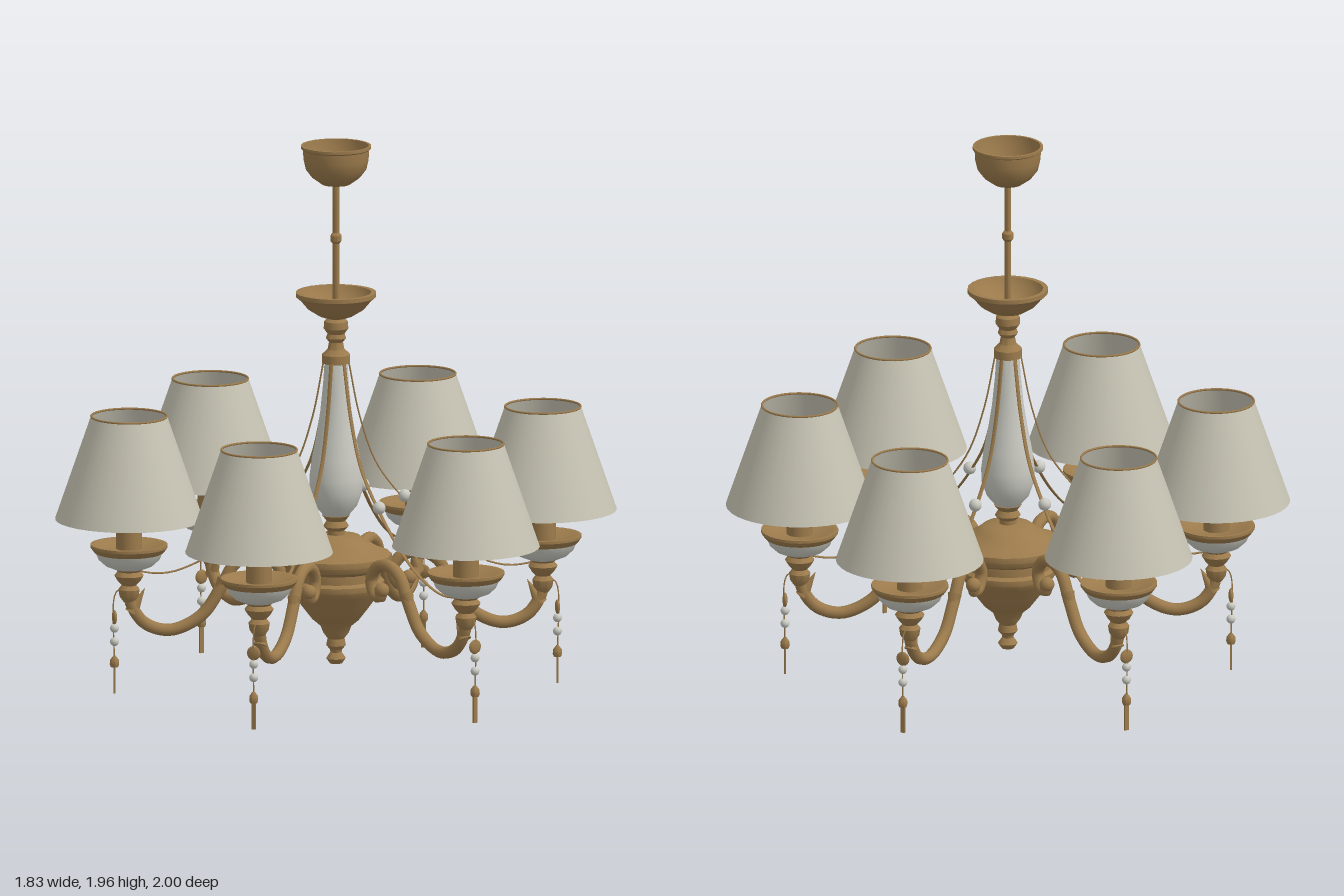
import * as THREE from 'three';
import { toCreasedNormals } from 'three/addons/utils/BufferGeometryUtils.js';

const mat = (name, color, side = THREE.FrontSide) =>
  Object.assign(new THREE.MeshStandardMaterial({ color, side }), { name });

export function createModel() {
  const brass = mat('antique brass', 0x9c7b4c, THREE.DoubleSide);
  const fabric = mat('shade fabric', 0xc6c3b3, THREE.DoubleSide);
  const porcelain = mat('porcelain', 0xcacac2);

  const mesh = (parent, name, geo, material, x = 0, y = 0, z = 0) => {
    const m = new THREE.Mesh(geo, material);
    m.name = name;
    m.position.set(x, y, z);
    parent.add(m);
    return m;
  };
  // Turned part; profile pairs [radius, height] run from bottom to top
  const turned = (profile, sides = 24) => toCreasedNormals(
    new THREE.LatheGeometry(profile.map(p => new THREE.Vector2(...p)), sides), 0.6);
  // Swept part in the radial plane, optionally flattened or widened sideways
  const swept = (pts, radius, steps, sides, widen = 1) => new THREE.TubeGeometry(
    new THREE.CatmullRomCurve3(pts.map(p => new THREE.Vector3(p[0], p[1], 0))),
    steps, radius, sides).scale(1, 1, widen);

  const model = new THREE.Group();
  model.name = 'chandelier';

  // Central column
  const column = new THREE.Group();
  column.name = 'column';
  column.position.set(-0.003, 0, -0.01);
  model.add(column);
  mesh(column, 'hub', turned([
    [0, 0.09], [0.022, 0.09], [0.035, 0.108], [0.02, 0.13], [0.022, 0.14], [0.035, 0.155],
    [0.03, 0.18], [0.045, 0.2], [0.055, 0.225], [0.085, 0.25], [0.12, 0.295], [0.155, 0.345],
    [0.172, 0.37], [0.172, 0.39], [0.158, 0.4], [0.158, 0.43], [0.19, 0.445], [0.2, 0.465],
    [0.198, 0.485], [0.16, 0.5], [0.11, 0.53], [0.085, 0.55], [0.03, 0.555], [0.03, 0.57],
    [0.046, 0.585], [0.034, 0.605], [0.05, 0.625], [0, 0.63]], 16), brass);
  mesh(column, 'vase', turned([
    [0.045, 0.625], [0.075, 0.66], [0.093, 0.71], [0.095, 0.76], [0.086, 0.83],
    [0.07, 0.91], [0.056, 1.0], [0.046, 1.1], [0.04, 1.19]]), porcelain);
  mesh(column, 'neck', turned([
    [0.03, 1.17], [0.05, 1.175], [0.05, 1.205], [0.03, 1.225], [0.025, 1.25], [0.036, 1.265],
    [0.03, 1.28], [0.044, 1.3], [0.042, 1.325], [0.03, 1.335], [0.06, 1.345], [0.1, 1.37],
    [0.125, 1.4], [0.143, 1.415], [0.143, 1.43], [0.125, 1.43], [0.11, 1.4], [0.07, 1.37],
    [0, 1.36]]), brass);
  mesh(column, 'rod', turned([
    [0.012, 1.35], [0.012, 1.605], [0.02, 1.615], [0.02, 1.635], [0.012, 1.645],
    [0.012, 1.84]], 12), brass);
  mesh(column, 'ceilingCanopy', turned([
    [0, 1.815], [0.05, 1.82], [0.085, 1.845], [0.108, 1.875], [0.116, 1.91], [0.118, 1.945],
    [0.125, 1.95], [0.125, 1.96], [0.116, 1.96], [0.11, 1.92], [0.085, 1.86], [0, 1.835]]), brass);

  // Shared geometry of the six arms; x points outward
  const R = 0.738;
  const armGeo = swept([
    [0.262, 0.4], [0.25, 0.368], [0.22, 0.375], [0.2, 0.425], [0.235, 0.475], [0.3, 0.488],
    [0.36, 0.46], [0.41, 0.375], [0.48, 0.275], [0.59, 0.225], [0.68, 0.25], [0.73, 0.32],
    [R, 0.39]], 0.022, 56, 10);
  const wireGeo = swept([
    [0.045, 1.18], [0.085, 0.98], [0.145, 0.81], [0.25, 0.67], [0.36, 0.56], [0.47, 0.48],
    [0.6, 0.432], [0.7, 0.44], [R, 0.46]], 0.003, 40, 6, 2.5);
  const hookGeo = swept([[0.75, 0.38], [0.775, 0.375], [0.79, 0.35], [0.79, 0.1]], 0.0025, 16, 5);
  const socketGeo = turned([
    [0.02, 0.33], [0.034, 0.35], [0.038, 0.375], [0.026, 0.39], [0.04, 0.405], [0.052, 0.425],
    [0.04, 0.44], [0.055, 0.452]]);
  const dishGeo = turned([[0.05, 0.448], [0.085, 0.462], [0.108, 0.483], [0.12, 0.51]], 28);
  const plateGeo = turned([
    [0.115, 0.505], [0.124, 0.51], [0.137, 0.528], [0.137, 0.538], [0.12, 0.538],
    [0.1, 0.525], [0, 0.52]], 28);
  const candleGeo = new THREE.CylinderGeometry(0.046, 0.046, 0.25, 20);
  const bulbGeo = new THREE.SphereGeometry(0.05, 18, 14);
  const shadeGeo = new THREE.CylinderGeometry(0.135, 0.262, 0.37, 36, 1, true);
  const trimGeo = new THREE.TorusGeometry(0.134, 0.004, 6, 36).rotateX(Math.PI / 2);
  const leafGeo = new THREE.ConeGeometry(0.026, 0.1, 8);
  const beadGeo = new THREE.SphereGeometry(0.016, 12, 8);
  const capGeo = turned([[0.013, 0.095], [0.017, 0.105], [0.016, 0.12], [0.005, 0.135]], 8);

  // Direction of each arm in degrees, from +x towards +z
  for (const deg of [-87.8, -28, 30.6, 90.8, 152.6, 212]) {
    const arm = new THREE.Group();
    arm.name = 'arm';
    arm.position.set(0, 0, -0.003);
    arm.rotation.y = -THREE.MathUtils.degToRad(deg);
    model.add(arm);

    mesh(arm, 'scrollArm', armGeo, brass);
    mesh(arm, 'scrollTip', new THREE.SphereGeometry(0.027, 12, 8), brass, 0.26, 0.395);
    mesh(arm, 'archLeaf', leafGeo, brass, 0.425, 0.36).rotation.z = Math.PI + 0.55;
    mesh(arm, 'socketLeaf', leafGeo, brass, 0.705, 0.335).rotation.z = 0.5;
    mesh(arm, 'garlandWire', wireGeo, brass);
    mesh(arm, 'garlandBead', new THREE.SphereGeometry(0.023, 14, 10), porcelain, 0.245, 0.69);

    // Lamp
    mesh(arm, 'socket', socketGeo, brass, R);
    mesh(arm, 'dish', dishGeo, porcelain, R);
    mesh(arm, 'dripPlate', plateGeo, brass, R);
    mesh(arm, 'candle', candleGeo, brass, R, 0.645);
    mesh(arm, 'bulb', bulbGeo, porcelain, R, 0.81);
    mesh(arm, 'shade', shadeGeo, fabric, R, 0.815);
    mesh(arm, 'shadeTrim', trimGeo, brass, R, 1.0);

    // Hanging pendant
    mesh(arm, 'pendantHook', hookGeo, brass);
    mesh(arm, 'pendantLeaf', new THREE.SphereGeometry(0.026, 10, 8), brass, 0.79, 0.275)
      .scale.set(0.35, 1, 1);
    for (const y of [0.235, 0.187]) mesh(arm, 'pendantBead', beadGeo, porcelain, 0.79, y);
    mesh(arm, 'pendantCap', capGeo, brass, 0.79);
    mesh(arm, 'pendantDrop', new THREE.BoxGeometry(0.006, 0.1, 0.016), brass, 0.79, 0.05);
  }
  return model;
}
